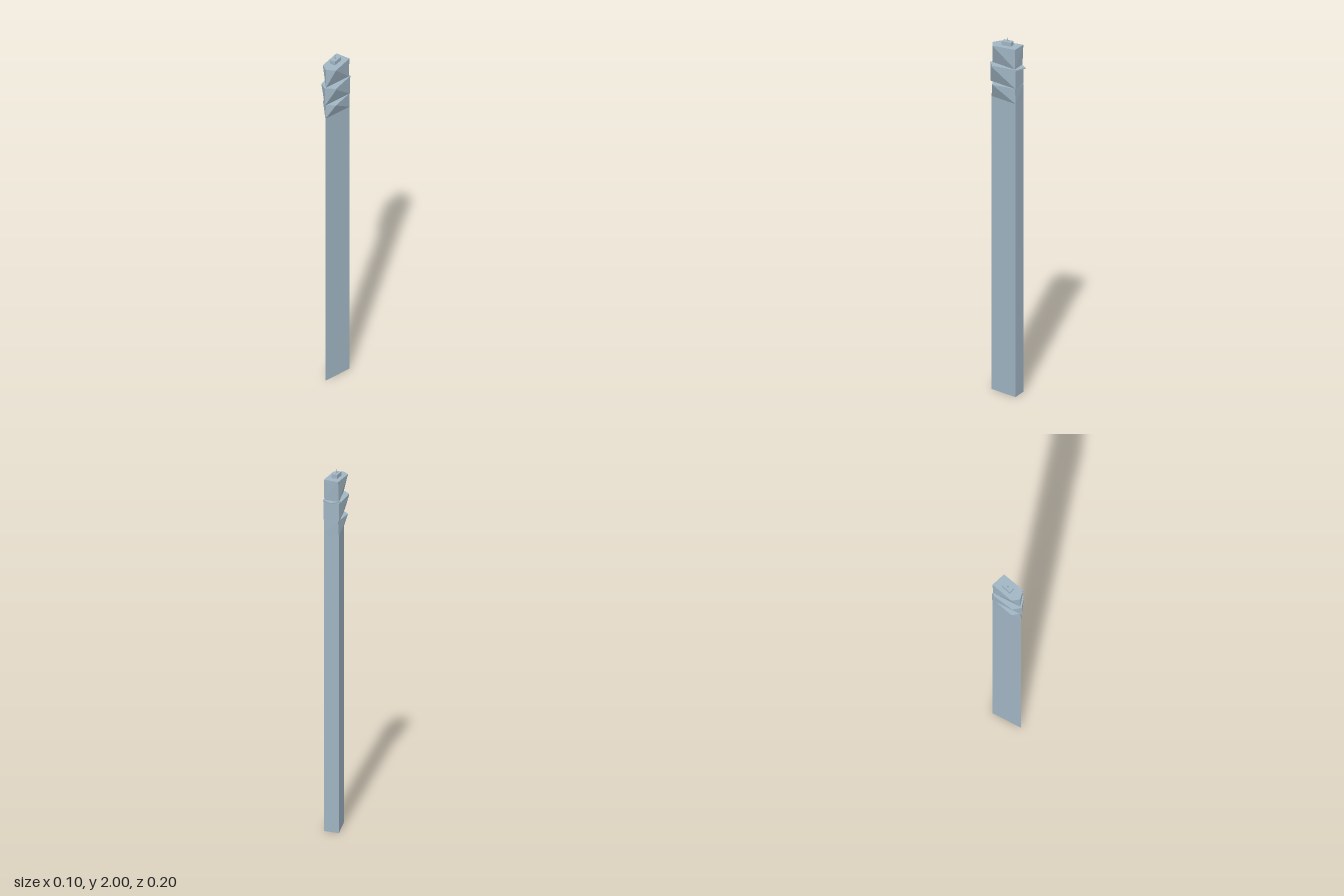
import * as THREE from 'three';
import { ConvexGeometry } from 'three/addons/geometries/ConvexGeometry.js';

// Footprints as [x, z] corners
const triangle = [[0, 0.095], [0.042, -0.07], [-0.044, -0.07]];
const pentagon = [[0, 0.09], [0.047, 0.065], [0.043, -0.068], [-0.041, -0.072], [-0.038, 0.062]];
const widePentagon = [[0, 0.1], [0.05, 0.068], [0.044, -0.07], [-0.046, -0.07], [-0.041, 0.07]];
const ledgeOutline = [[0, 0.1], [0.05, 0.068], [0.046, -0.074], [-0.01, -0.1], [-0.052, -0.05], [-0.041, 0.07]];

// Faceted solid spanning a lower and an upper footprint
function loft(name, material, lower, y0, upper, y1) {
  const at = (outline, y) => outline.map(([x, z]) => new THREE.Vector3(x, y, z));
  const mesh = new THREE.Mesh(new ConvexGeometry([...at(lower, y0), ...at(upper, y1)]), material);
  mesh.name = name;
  return mesh;
}

export function createModel() {
  const model = new THREE.Group();
  model.name = 'tower';
  const steel = new THREE.MeshStandardMaterial({ color: 0xa0b5c3 });
  steel.name = 'blue grey';

  // Tall triangular shaft with a flared head
  model.add(loft('shaft', steel, triangle, 0, triangle, 1.65));
  model.add(loft('shaftHead', steel, triangle, 1.65, pentagon, 1.735));

  // Two faceted upper tiers, each widening from three corners to five
  model.add(loft('lowerTier', steel, [[0, 0.1], [0.044, -0.07], [-0.046, -0.07]], 1.735, widePentagon, 1.836));
  model.add(loft('ledge', steel, ledgeOutline, 1.836, ledgeOutline, 1.843));
  model.add(loft('upperTier', steel, [[0, 0.09], [0.041, -0.066], [-0.042, -0.066]], 1.843, pentagon, 1.955));

  // Roof box and mast
  const roofBox = new THREE.Mesh(new THREE.BoxGeometry(0.031, 0.022, 0.056), steel);
  roofBox.name = 'roofBox';
  roofBox.position.set(0, 1.966, 0);
  model.add(roofBox);
  const mast = new THREE.Mesh(new THREE.ConeGeometry(0.005, 0.025, 4), steel);
  mast.name = 'mast';
  mast.position.set(-0.001, 1.9875, 0);
  model.add(mast);
  return model;
}
